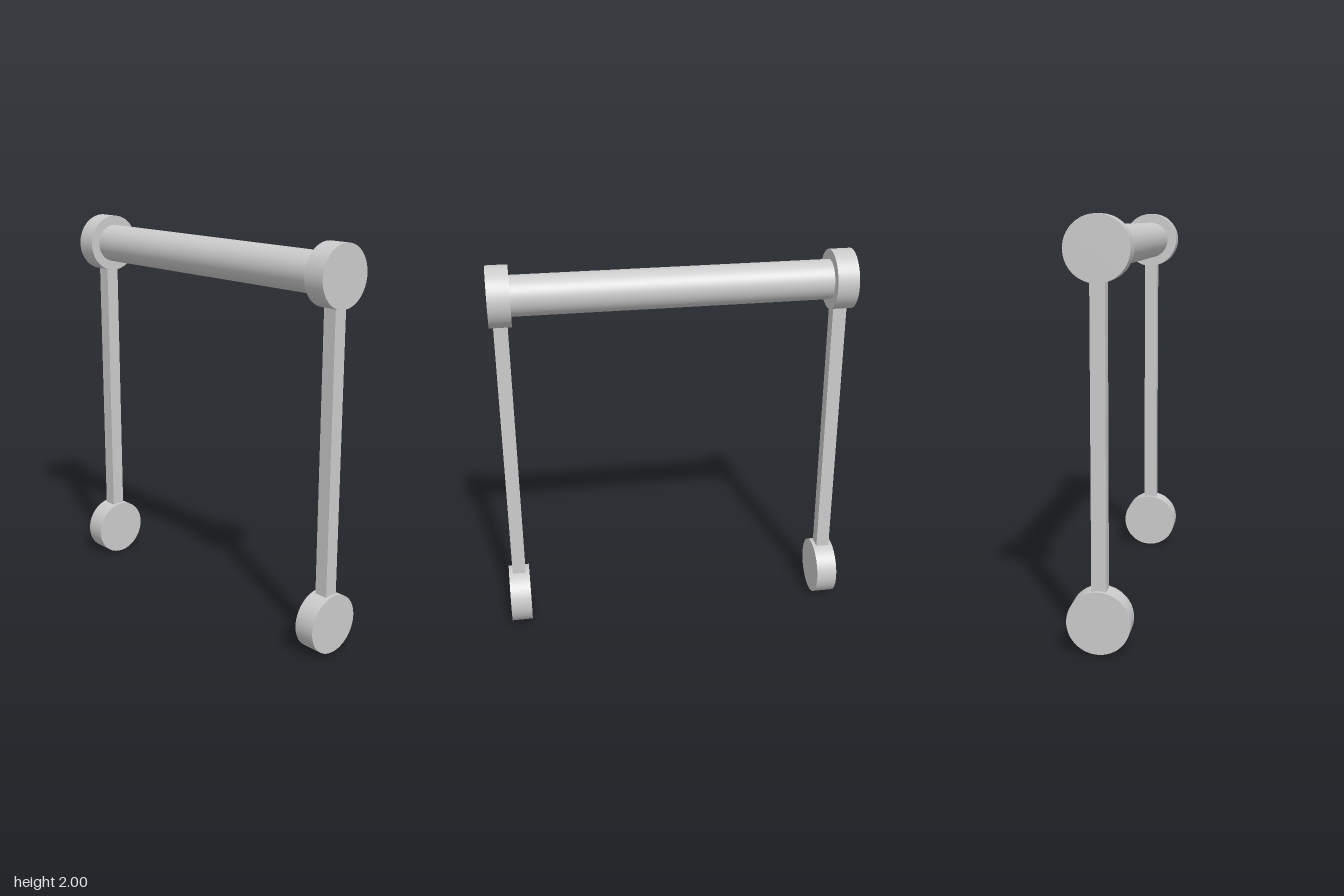
import * as THREE from 'three';

export function createModel() {
  const group = new THREE.Group();
  const material = new THREE.MeshStandardMaterial({ color: 0xcccccc });
  const sideX = 0.85, topY = 1.85, bottomY = 0.15;

  const add = (name, geometry, x, y) => {
    const mesh = new THREE.Mesh(geometry, material);
    mesh.name = name;
    mesh.position.set(x, y, 0);
    group.add(mesh);
  };

  // Cylinder lying along x
  const rod = (radius, length) =>
    new THREE.CylinderGeometry(radius, radius, length, 64).rotateZ(Math.PI / 2);

  // Horizontal bar, ends seated inside the upper discs
  add('crossbar', rod(0.1, 1.62), 0, topY);

  // Square posts with a round disc at each end
  const disc = rod(0.15, 0.11);
  const post = new THREE.BoxGeometry(0.07, topY - bottomY - 0.2, 0.07);
  for (const [side, s] of [['left', 1], ['right', -1]]) {
    add(side + 'Post', post, s * sideX, (topY + bottomY) / 2);
    add(side + 'UpperDisc', disc, s * sideX, topY);
    add(side + 'LowerDisc', disc, s * sideX, bottomY);
  }

  return group;
}
